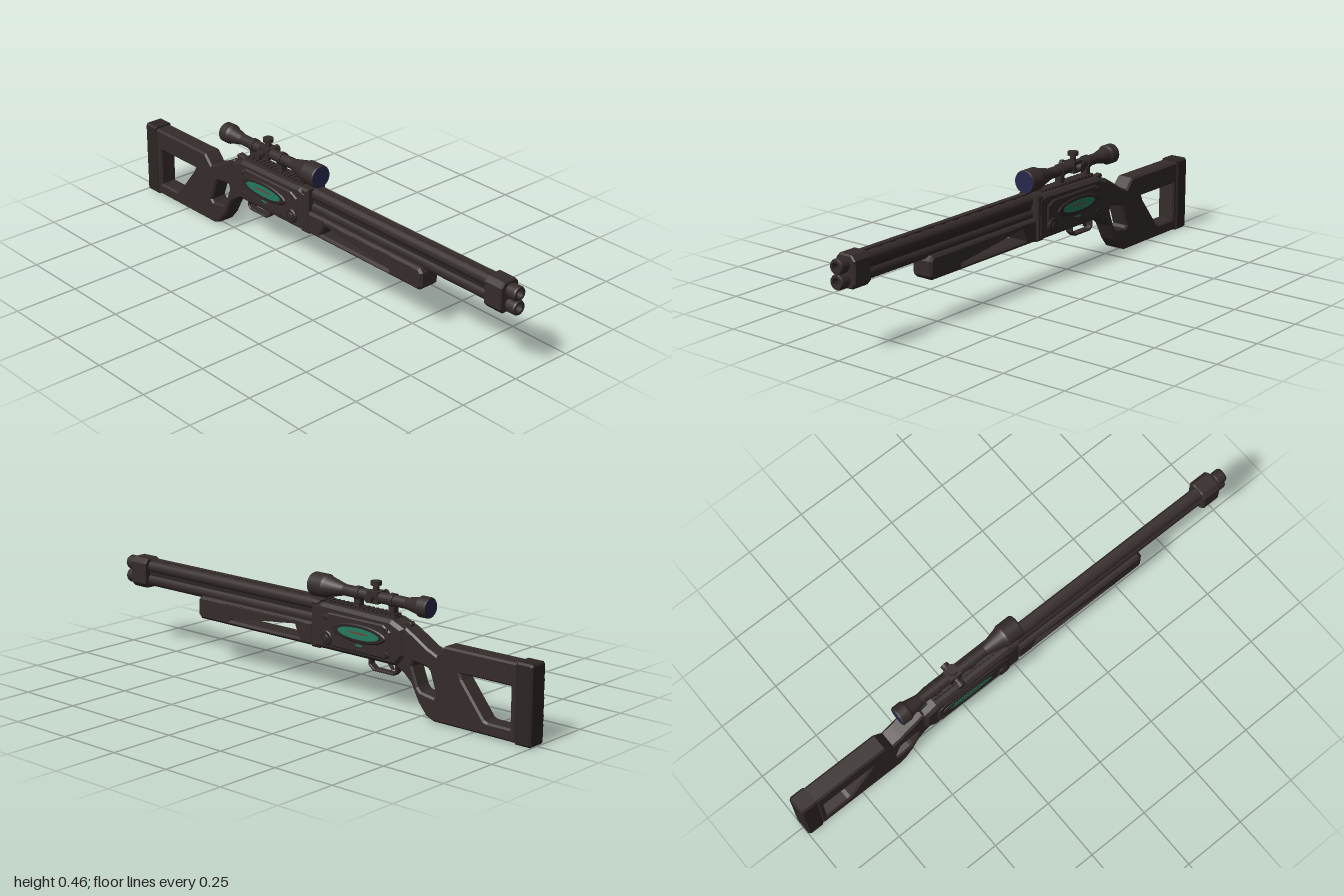
import * as THREE from 'three';

const mat = (name, color, side = THREE.FrontSide) => {
  const m = new THREE.MeshStandardMaterial({ color, side });
  m.name = name;
  return m;
};

export function createModel() {
  const root = new THREE.Group();
  root.name = 'scopedRifle';
  const body = mat('darkBrown', 0x352c2b);
  const dark = mat('deepBrown', 0x2c2524);
  const green = mat('emeraldInlay', 0x237a60);
  const rust = mat('rustEngraving', 0x6a4a38);
  const glass = mat('blueGlass', 0x27284a);

  const add = (name, geo, m, x = 0, y = 0, z = 0) => {
    const mesh = new THREE.Mesh(geo, m);
    mesh.name = name;
    mesh.position.set(x, y, z);
    root.add(mesh);
    return mesh;
  };
  const box = (name, x0, x1, y0, y1, halfZ, m = body) =>
    add(name, new THREE.BoxGeometry(x1 - x0, y1 - y0, halfZ * 2), m, (x0 + x1) / 2, (y0 + y1) / 2);
  const vec = (pts) => pts.map(([x, y]) => new THREE.Vector2(x, y));

  // Side profile with holes, extruded symmetrically about z = 0 with chamfered edges
  const slab = (name, pts, halfZ, bevel = 0.006, holes = [], m = body) => {
    const shape = new THREE.Shape(vec(pts));
    holes.forEach((h) => shape.holes.push(new THREE.Path(vec(h))));
    const geo = new THREE.ExtrudeGeometry(shape, {
      depth: 2 * (halfZ - bevel), bevelEnabled: bevel > 0, bevelThickness: bevel,
      bevelSize: bevel, bevelOffset: -bevel, bevelSegments: 1, curveSegments: 12,
    });
    geo.translate(0, 0, -(halfZ - bevel));
    return add(name, geo, m);
  };

  // Turned part along x from [x, radius] pairs
  const turned = (name, pts, y, m = body, sides = 20) => {
    const profile = [];
    pts.forEach(([x, r], i) => {
      profile.push(new THREE.Vector2(r, x));
      if (i > 0 && i < pts.length - 1) profile.push(new THREE.Vector2(r, x + 0.0005));
    });
    const geo = new THREE.LatheGeometry(profile, sides);
    geo.rotateZ(-Math.PI / 2);
    return add(name, geo, m, 0, y, 0);
  };
  const oval = (cx, cy, rx, ry, n = 32) => Array.from({ length: n }, (_, i) => {
    const a = (i / n) * Math.PI * 2;
    return [cx + rx * Math.cos(a), cy + ry * Math.sin(a)];
  });

  // Skeleton stock with butt opening and thumb hole
  slab('stock', [
    [-0.935, 0.004], [-0.58, 0.004], [-0.545, 0.018], [-0.51, 0.06], [-0.475, 0.125], [-0.44, 0.155],
    [-0.40, 0.175], [-0.40, 0.30], [-0.45, 0.32], [-0.50, 0.292], [-0.55, 0.262], [-0.59, 0.245],
    [-0.605, 0.262], [-0.625, 0.284], [-0.935, 0.284],
  ], 0.036, 0.007, [
    [[-0.91, 0.05], [-0.91, 0.2], [-0.69, 0.2], [-0.70, 0.18], [-0.80, 0.055], [-0.815, 0.05]],
    [[-0.59, 0.1], [-0.56, 0.185], [-0.545, 0.195], [-0.485, 0.203], [-0.48, 0.185], [-0.507, 0.115], [-0.52, 0.1], [-0.58, 0.09]],
  ]);
  slab('buttPad', [[-1, 0.008], [-0.994, 0], [-0.932, 0], [-0.932, 0.29], [-0.994, 0.29], [-1, 0.282]], 0.039, 0.007, [], dark);
  for (let i = 0; i < 8; i++) box('buttPadRib', -1, -0.99, 0.03 + i * 0.032, 0.038 + i * 0.032, 0.034, dark);

  // Receiver and its raised side plates
  slab('receiver', [
    [-0.45, 0.215], [-0.415, 0.175], [-0.02, 0.175], [-0.02, 0.335], [-0.06, 0.345],
    [-0.39, 0.338], [-0.445, 0.315],
  ], 0.048, 0.012);
  slab('sidePlates', [
    [-0.395, 0.205], [-0.37, 0.192], [-0.09, 0.192], [-0.065, 0.21], [-0.065, 0.30], [-0.10, 0.318],
    [-0.36, 0.318], [-0.395, 0.295],
  ], 0.053, 0.006);
  slab('receiverCollar', [[-0.052, 0.172], [-0.012, 0.172], [-0.012, 0.35], [-0.052, 0.35]], 0.046, 0.008);
  slab('hammer', [[-0.44, 0.30], [-0.40, 0.31], [-0.41, 0.33], [-0.45, 0.336], [-0.458, 0.328]], 0.012, 0.002);

  // Oval inlay, visible on both sides
  slab('inlayRim', oval(-0.25, 0.265, 0.125, 0.034), 0.058, 0.004, [], dark);
  slab('inlay', oval(-0.25, 0.265, 0.097, 0.021), 0.0588, 0, [], green);
  slab('inlayEngraving', oval(-0.25, 0.267, 0.05, 0.004, 16), 0.0592, 0, [], rust);
  slab('inlayBar', oval(-0.25, 0.221, 0.018, 0.004, 12), 0.0535, 0, [], green);
  slab('pivotDisc', oval(-0.095, 0.222, 0.028, 0.028, 20), 0.058, 0.004, [], dark);
  slab('pivotPin', oval(-0.095, 0.222, 0.013, 0.013, 16), 0.06, 0.002);
  [[-0.375, 0.212], [-0.375, 0.298], [-0.09, 0.298]].forEach(([x, y]) =>
    slab('screw', oval(x, y, 0.009, 0.009, 12), 0.055, 0.001, [], dark));

  // Trigger guard and trigger
  slab('triggerGuard', [
    [-0.395, 0.18], [-0.395, 0.14], [-0.38, 0.126], [-0.285, 0.126], [-0.262, 0.145], [-0.262, 0.18],
  ], 0.015, 0.002, [[[-0.386, 0.174], [-0.386, 0.144], [-0.375, 0.135], [-0.289, 0.135], [-0.271, 0.149], [-0.271, 0.174]]]);
  slab('trigger', [[-0.36, 0.18], [-0.362, 0.16], [-0.372, 0.144], [-0.364, 0.142], [-0.348, 0.16], [-0.342, 0.18]], 0.006, 0.001);

  // Fore-end with long slot
  slab('foreEnd', [
    [-0.015, 0.175], [0.565, 0.175], [0.58, 0.19], [0.58, 0.245], [0.565, 0.262], [-0.015, 0.262],
  ], 0.043, 0.009, [[[0.055, 0.194], [0.41, 0.194], [0.41, 0.248], [0.08, 0.248]]]);

  // Two stacked barrels with muzzle tips
  [0.272, 0.325].forEach((y) => {
    turned('barrel', [[-0.03, 0], [-0.03, 0.025], [0.9, 0.025], [0.9, 0]], y);
    turned('muzzleTip', [
      [0.9, 0.022], [0.96, 0.022], [0.965, 0.028], [0.994, 0.028], [1, 0.025], [1, 0.016], [0.96, 0.015], [0.96, 0],
    ], y, body, 16);
  });
  box('barrelWeb', -0.02, 0.89, 0.275, 0.322, 0.016, dark);

  // Ventilated top rib
  box('topRib', -0.02, 0.88, 0.353, 0.357, 0.011);
  for (let i = 0; i < 14; i++) box('ribPost', i * 0.065, 0.025 + i * 0.065, 0.345, 0.354, 0.008);

  // Muzzle block, an eight-sided clamp around both barrels
  const muzzle = new THREE.Shape(vec([
    [-0.026, 0.243], [0.026, 0.243], [0.041, 0.26], [0.041, 0.34], [0.026, 0.357],
    [-0.026, 0.357], [-0.041, 0.34], [-0.041, 0.26],
  ]));
  const clamp = new THREE.ExtrudeGeometry(muzzle, {
    depth: 0.07, bevelThickness: 0.005, bevelSize: 0.005, bevelOffset: -0.003, bevelSegments: 1,
  });
  clamp.rotateY(Math.PI / 2);
  add('muzzleClamp', clamp, body, 0.88);

  // Toothed scope rail
  box('scopeRail', -0.39, -0.06, 0.325, 0.345, 0.02);
  for (let i = 0; i < 16; i++) box('railTooth', -0.385 + i * 0.0203, -0.373 + i * 0.0203, 0.343, 0.352, 0.02);

  // Scope tube, lenses and mounts
  const sy = 0.398;
  turned('scopeTube', [
    [-0.535, 0.034], [-0.53, 0.038], [-0.495, 0.038], [-0.485, 0.032], [-0.43, 0.021], [-0.14, 0.021],
    [-0.065, 0.039], [-0.055, 0.044], [0.005, 0.044], [0.01, 0.041],
  ], sy);
  turned('eyeLens', [[-0.5345, 0], [-0.5345, 0.0345], [-0.53, 0.0345], [-0.53, 0]], sy, glass);
  turned('frontLens', [[0.005, 0], [0.005, 0.0415], [0.0105, 0.0415], [0.0105, 0]], sy, glass);
  [-0.365, -0.205].forEach((x) => {
    box('mountFoot', x - 0.012, x + 0.012, 0.345, 0.385, 0.013);
    turned('mountRing', [[x - 0.01, 0.02], [x - 0.01, 0.025], [x + 0.01, 0.025], [x + 0.01, 0.02]], sy);
  });

  // Adjustment turrets: top, and one on each side
  const post = (name, r, h) => new THREE.CylinderGeometry(r, r, h, 16);
  box('turretHousing', -0.31, -0.26, 0.376, 0.42, 0.023);
  add('topTurretStem', post('stem', 0.012, 0.04), body, -0.285, 0.425);
  add('topTurretCap', post('cap', 0.02, 0.015), body, -0.285, 0.4475);
  [[1, 0.057], [-1, 0.047]].forEach(([s, reach]) => {
    const stem = add('sideTurretStem', post('stem', 0.011, 0.04), body, -0.285, sy, s * (reach - 0.022));
    const cap = add('sideTurretCap', post('cap', 0.016, 0.014), body, -0.285, sy, s * (reach - 0.007));
    stem.rotation.x = cap.rotation.x = Math.PI / 2;
  });

  return root;
}
